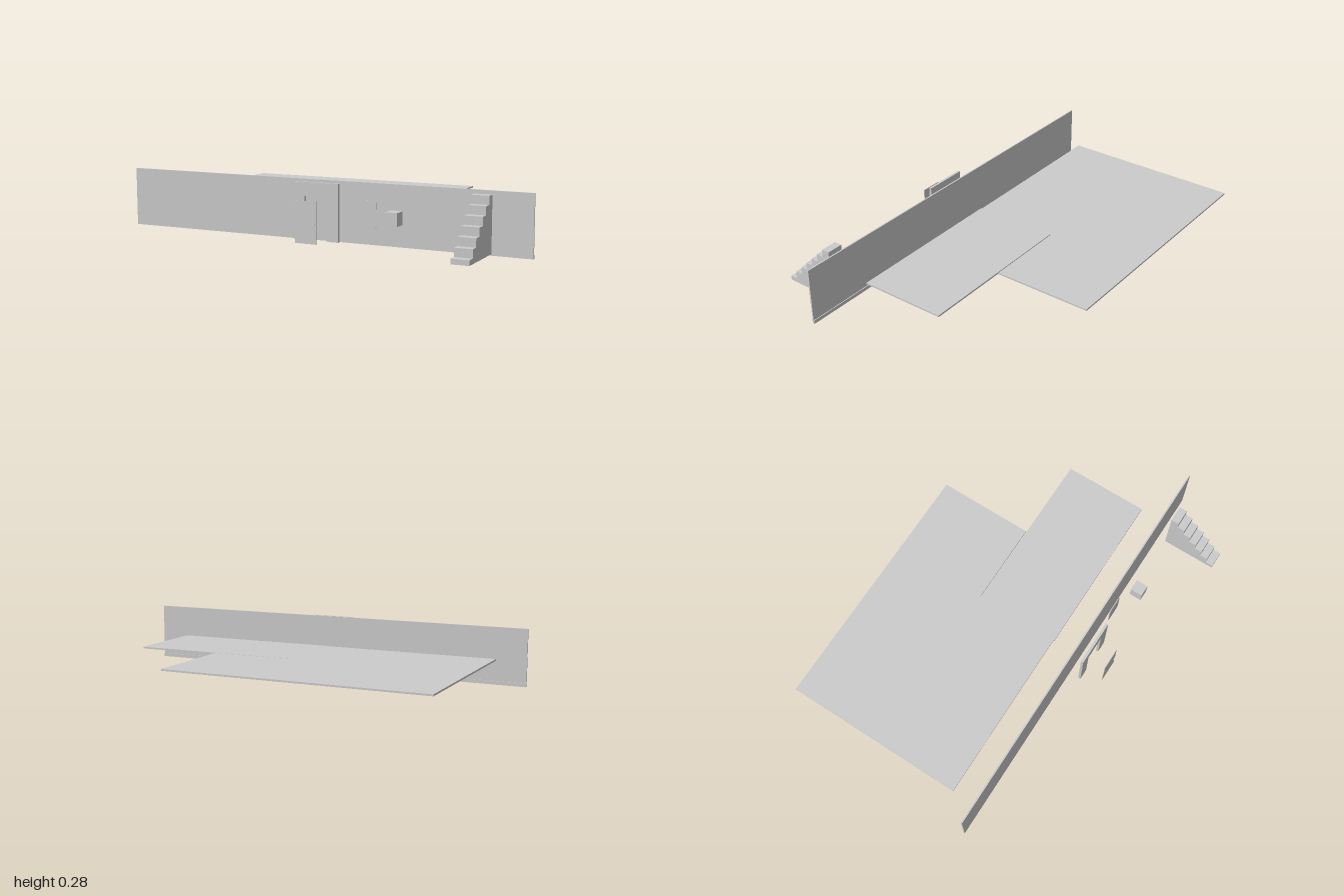
import * as THREE from 'three';

const material = new THREE.MeshStandardMaterial({ color: 0xcccccc, flatShading: true });

function add(group, name, geometry) {
  const mesh = new THREE.Mesh(geometry, material);
  mesh.name = name;
  group.add(mesh);
  return mesh;
}

// Box given by its lower and upper corner
function box(group, name, [x0, y0, z0], [x1, y1, z1]) {
  const mesh = add(group, name, new THREE.BoxGeometry(x1 - x0, y1 - y0, z1 - z0));
  mesh.position.set((x0 + x1) / 2, (y0 + y1) / 2, (z0 + z1) / 2);
  return mesh;
}

// Flat outline extruded along its own z
function extrude(shape, depth) {
  return new THREE.ExtrudeGeometry(shape, { depth, bevelEnabled: false, curveSegments: 4 });
}

function polygon(points) {
  return new THREE.Shape(points.map(([x, y]) => new THREE.Vector2(x, y)));
}

export function createModel() {
  const model = new THREE.Group();
  model.name = 'buildingParts';

  // Long wall with a skirting strip along the back
  box(model, 'wall', [-1, 0, 0.345], [1, 0.276, 0.352]);
  box(model, 'skirting', [-1, 0, 0.341], [1, 0.017, 0.345]);

  // Stepped floor plate with a narrow slit, drawn as (x, -z) and laid flat
  const floor = add(model, 'floor', extrude(polygon([
    [-0.885, -0.22], [-0.035, -0.22], [-0.035, -0.225], [0.78, -0.225],
    [0.78, 0.188], [-0.035, 0.188], [-0.035, 0.192], [0.37, 0.192],
    [0.37, 0.662], [-0.885, 0.662],
  ]), 0.008));
  floor.rotation.x = -Math.PI / 2;
  floor.position.y = 0.137;

  // Door surround, open at the bottom
  const frame = add(model, 'doorFrame', extrude(polygon([
    [-0.09, 0.008], [-0.037, 0.008], [-0.037, 0.208], [0.074, 0.208],
    [0.074, 0.008], [0.13, 0.008], [0.13, 0.27], [-0.09, 0.27],
  ]), 0.012));
  frame.position.z = 0.4;

  // Door leaf and handle
  box(model, 'door', [-0.037, 0.01, 0.5], [0.068, 0.2, 0.503]);
  box(model, 'doorHandle', [0.052, 0.095, 0.503], [0.062, 0.1, 0.507]);

  // Window pane with rounded corners
  const [x0, x1, y0, y1, r] = [0.213, 0.3, 0.077, 0.202, 0.014];
  const pane = new THREE.Shape();
  pane.absarc(x1 - r, y1 - r, r, 0, Math.PI / 2);
  pane.absarc(x0 + r, y1 - r, r, Math.PI / 2, Math.PI);
  pane.absarc(x0 + r, y0 + r, r, Math.PI, Math.PI * 1.5);
  pane.absarc(x1 - r, y0 + r, r, Math.PI * 1.5, Math.PI * 2);
  add(model, 'window', extrude(pane, 0.004)).position.z = 0.376;

  // Small block
  box(model, 'block', [0.376, 0.109, 0.4], [0.433, 0.169, 0.459]);

  // Solid stair, profile drawn as (-z, y) and extruded across x
  const steps = 7, run = 0.038, rise = 0.0378;
  const profile = [[-0.393, 0.015], [-0.66, 0.015]];
  for (let i = 0; i < steps; i++) {
    const y = 0.038 + i * rise;
    profile.push([-0.66 + i * run, y]);
    profile.push([i === steps - 1 ? -0.393 : -0.66 + (i + 1) * run, y]);
  }
  const stairs = add(model, 'stairs', extrude(polygon(profile), 0.08));
  stairs.rotation.y = Math.PI / 2;
  stairs.position.x = 0.752;

  return model;
}
